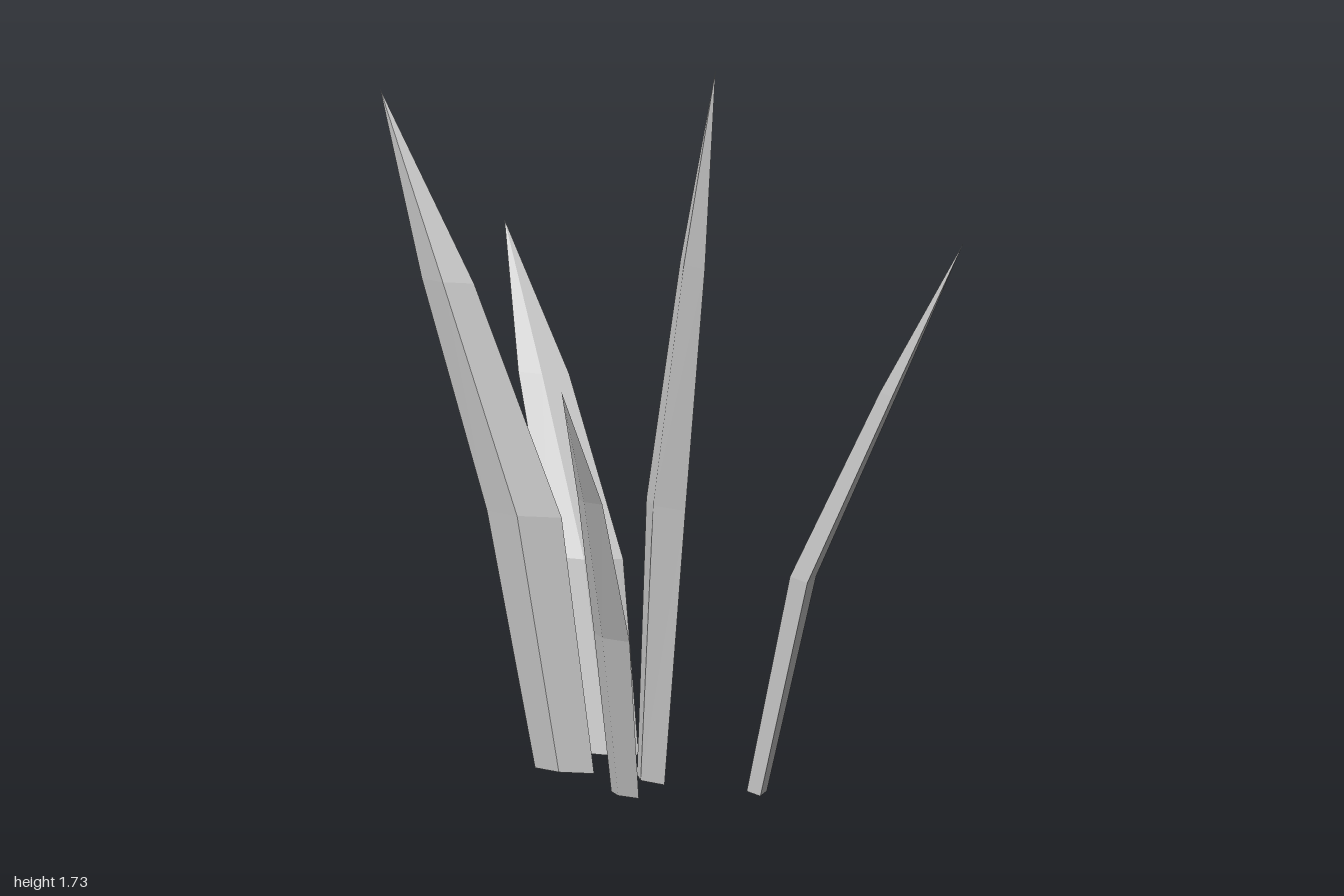
import * as THREE from 'three';

// Each blade: height, then sections [centre x, centre z, half-width x, half-width z] at base, knee, shoulder, tip
const BLADES = {
  farRightBlade: [1.14, [-0.277, -0.207, 0.051, -0.047], [-0.435, -0.257, 0.065, -0.058], [-0.73, -0.35, 0.045, -0.04], [-1, -0.435, 0, 0]],
  innerRightBlade: [1.545, [-0.14, 0.022, 0.075, -0.03], [-0.26, 0.05, 0.095, -0.038], [-0.478, 0.11, 0.067, -0.026], [-0.68, 0.157, 0, 0]],
  tallBlade: [1.725, [0.085, -0.061, 0.08, 0.019], [0.165, -0.046, 0.104, 0.02], [0.315, -0.013, 0.07, 0.016], [0.45, 0.02, 0, 0]],
  farLeftBlade: [1.36, [0.362, -0.163, 0.066, 0.038], [0.5, -0.195, 0.085, 0.05], [0.763, -0.25, 0.06, 0.035], [0.995, -0.295, 0, 0]],
  shortFrontBlade: [1.0, [0.227, 0.117, 0.061, 0.005], [0.265, 0.183, 0.081, 0.008], [0.34, 0.3, 0.055, 0.005], [0.405, 0.43, 0, 0]],
};
const LEVELS = [0, 0.382, 0.722, 1];
const THICKNESS = 0.31; // ridge depth relative to half-width

function bladeGeometry([height, ...sections]) {
  // Thin diamond cross-sections: edge, ridge, edge, ridge
  const rings = sections.map(([cx, cz, wx, wz], i) => {
    const tx = -wz * THICKNESS, tz = wx * THICKNESS;
    return [[wx, wz], [tx, tz], [-wx, -wz], [-tx, -tz]]
      .map(([x, z]) => [cx + x, height * LEVELS[i], cz + z]);
  });
  const pos = [];
  const tri = (...points) => points.forEach((p) => pos.push(...p));
  for (let i = 0; i < 3; i++) {
    for (let j = 0; j < 4; j++) {
      const k = (j + 1) % 4;
      const [a, b, c, d] = [rings[i][j], rings[i][k], rings[i + 1][j], rings[i + 1][k]];
      tri(a, c, b);
      if (i < 2) tri(b, c, d);
    }
  }
  // Base cap
  const [a, b, c, d] = rings[0];
  tri(a, b, c);
  tri(a, c, d);
  const geometry = new THREE.BufferGeometry();
  geometry.setAttribute('position', new THREE.Float32BufferAttribute(pos, 3));
  geometry.computeVertexNormals();
  return geometry;
}

export function createModel() {
  const group = new THREE.Group();
  group.name = 'grassTuft';
  const material = new THREE.MeshStandardMaterial({ color: 0xc0c0c0 });
  material.name = 'paleGrey';
  for (const [name, data] of Object.entries(BLADES)) {
    const blade = new THREE.Mesh(bladeGeometry(data), material);
    blade.name = name;
    group.add(blade);
  }
  return group;
}
